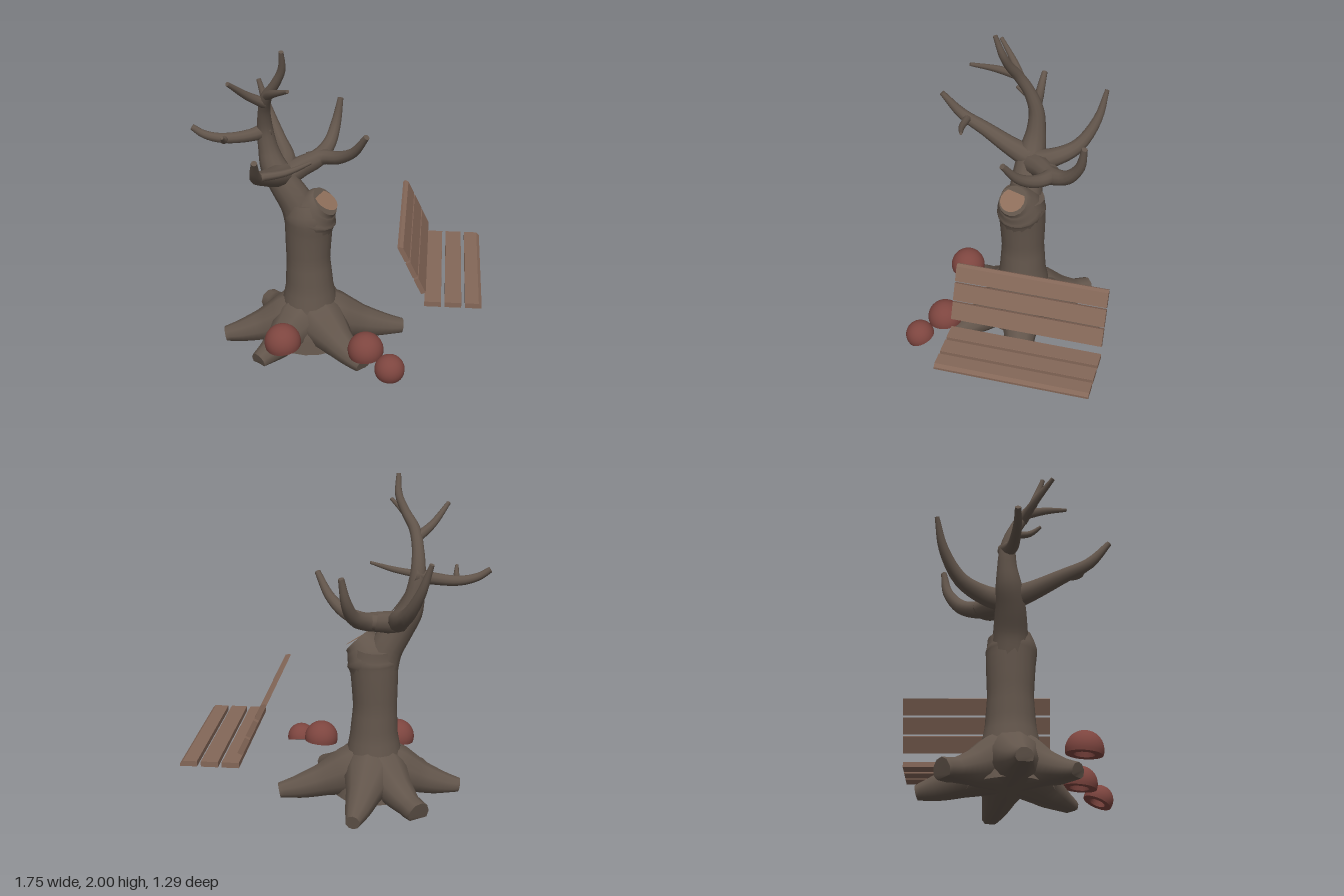
import * as THREE from 'three';

const mat = (color, extra = {}) => new THREE.MeshStandardMaterial({ color, ...extra });
const bark = mat(0x62554b), cutWood = mat(0x8e6f5b), plank = mat(0x846758), cap = mat(0x7d453f);

// Tapered limb through stations [x, y, z, radius]; vertices are kept above "floor".
function limbGeometry(stations, sides, floor = -1) {
  const curve = new THREE.CatmullRomCurve3(stations.map(s => new THREE.Vector3(s[0], s[1], s[2])));
  const steps = (stations.length - 1) * 4;
  const pos = [], index = [];
  const radiusAt = t => {
    const f = t * (stations.length - 1), i = Math.min(Math.floor(f), stations.length - 2);
    return THREE.MathUtils.lerp(stations[i][3], stations[i + 1][3], f - i);
  };
  const tangent = new THREE.Vector3(), n = new THREE.Vector3(), b = new THREE.Vector3();
  n.set(0.31, 0.2, 0.93);
  const ring = [];
  for (let i = 0; i <= steps; i++) {
    const t = i / steps, c = curve.getPoint(t), r = radiusAt(t);
    tangent.copy(curve.getTangent(t));
    n.addScaledVector(tangent, -n.dot(tangent)).normalize();
    b.crossVectors(tangent, n);
    ring.length = 0;
    for (let j = 0; j < sides; j++) {
      const a = j / sides * Math.PI * 2;
      const p = c.clone().addScaledVector(n, r * Math.cos(a)).addScaledVector(b, r * Math.sin(a));
      p.y = Math.max(p.y, floor);
      ring.push(p);
      pos.push(p.x, p.y, p.z);
    }
    if (i < steps) for (let j = 0; j < sides; j++) {
      const k = (j + 1) % sides, o = i * sides;
      index.push(o + j, o + k, o + sides + j, o + k, o + sides + k, o + sides + j);
    }
  }
  // flat sawn end with its own vertices
  const o = pos.length / 3;
  ring.forEach(p => pos.push(p.x, p.y, p.z));
  for (let j = 1; j < sides - 1; j++) index.push(o, o + j, o + j + 1);
  const g = new THREE.BufferGeometry();
  g.setAttribute('position', new THREE.Float32BufferAttribute(pos, 3));
  g.setIndex(index);
  g.computeVertexNormals();
  return g;
}

function add(parent, name, geometry, material) {
  const m = new THREE.Mesh(geometry, material);
  m.name = name;
  parent.add(m);
  return m;
}

function makeTree() {
  const tree = new THREE.Group();
  tree.name = 'tree';
  const limb = (name, stations, sides = 10, floor) => add(tree, name, limbGeometry(stations, sides, floor), bark);

  // trunk with flared foot, and the sawn stub on top
  limb('trunk', [[-.18, .04, .02, .25], [-.18, .14, .02, .225], [-.18, .28, .02, .175], [-.18, .42, .02, .148],
    [-.185, .6, .02, .135], [-.18, .8, .022, .145], [-.175, .9, .025, .152], [-.18, .985, .015, .13]], 18);
  limb('sawnStub', [[-.17, .8, .025, .13], [-.15, .9, .03, .148], [-.105, .975, .045, .115], [-.075, 1.005, .055, .095]], 16);
  const cut = add(tree, 'sawnFace', new THREE.CircleGeometry(.08, 16), cutWood);
  const out = new THREE.Vector3(.53, .83, .17).normalize();
  cut.position.set(-.072, 1.01, .056).addScaledVector(out, .006);
  cut.quaternion.setFromUnitVectors(new THREE.Vector3(0, 0, 1), out);

  // roots spreading from the foot: tip x, z, tip radius, floor
  [[.40, -.10, .05, .02], [.18, .38, .05, .03], [-.46, .38, .055, .03],
    [-.71, .09, .05, .03], [-.48, -.35, .075, .02], [-.10, -.51, .045, 0]].forEach(([x, z, r, floor]) => {
    const at = (f, y, rad) => [THREE.MathUtils.lerp(-.18, x, f), y, THREE.MathUtils.lerp(.02, z, f), rad];
    limb('root', [at(.05, .22, .17), at(.28, .17, .155), at(.55, .115, .105), at(.8, .075, .075), at(1, .055, r)], 10, floor);
  });

  // main leader rising from the trunk
  limb('leader', [[-.2, .8, .02, .12], [-.245, .96, .02, .105], [-.32, 1.09, .02, .093], [-.39, 1.21, .01, .08],
    [-.42, 1.32, 0, .06], [-.435, 1.45, .005, .047], [-.43, 1.58, .05, .037], [-.405, 1.69, .11, .034],
    [-.35, 1.78, .15, .028], [-.305, 1.88, .18, .023], [-.3, 2, .22, .014]], 12);

  // branches and twigs
  limb('leftBranch', [[-.41, 1.44, -.01, .05], [-.52, 1.41, .03, .037], [-.68, 1.395, .05, .03], [-.79, 1.42, .06, .024], [-.86, 1.465, .06, .018]]);
  limb('leftTwig', [[-.67, 1.395, .06, .022], [-.66, 1.41, .13, .018], [-.66, 1.455, .19, .01]], 8);
  limb('frontBranch', [[-.34, 1.16, .02, .075], [-.37, 1.2, .15, .06], [-.41, 1.27, .32, .045], [-.425, 1.35, .48, .034], [-.41, 1.49, .6, .017]]);
  limb('frontTwig', [[-.41, 1.33, .44, .026], [-.26, 1.36, .43, .02], [-.12, 1.41, .39, .01]], 8);
  limb('backBranch', [[-.33, 1.14, .02, .075], [-.33, 1.19, -.13, .06], [-.39, 1.26, -.27, .045], [-.47, 1.42, -.37, .03], [-.53, 1.6, -.41, .014]]);
  limb('backBough', [[-.34, 1.13, .02, .075], [-.24, 1.165, -.08, .065], [-.14, 1.19, -.17, .055], [-.08, 1.24, -.28, .043],
    [-.045, 1.35, -.36, .032], [-.02, 1.5, -.39, .018]]);
  limb('rightBranch', [[-.2, 1.18, -.15, .05], [-.11, 1.2, -.16, .046], [-.01, 1.225, -.1, .04], [.09, 1.3, -.02, .03], [.17, 1.43, .05, .018]]);
  limb('upperLeftTwig', [[-.42, 1.64, .09, .033], [-.51, 1.71, .16, .024], [-.6, 1.82, .27, .013]], 8);
  limb('upperRightTwig', [[-.4, 1.7, .12, .03], [-.345, 1.755, .23, .022], [-.25, 1.82, .36, .011]], 8);
  return tree;
}

// Long plank with one chamfered edge where wanted
function slatGeometry(width, thick, chamfer) {
  const w = width / 2, h = thick / 2;
  const s = new THREE.Shape([[-w, -h], [w, -h], [w, h - chamfer], [w - chamfer, h], [-w, h]]
    .map(([x, y]) => new THREE.Vector2(x, y)));
  return new THREE.ExtrudeGeometry(s, { depth: .92, bevelEnabled: false }).translate(0, 0, -.65);
}

function makeBench() {
  const bench = new THREE.Group();
  bench.name = 'bench';
  for (let i = 0; i < 3; i++) {
    const seat = add(bench, 'seatSlat', slatGeometry(.1, .032, i === 2 ? .018 : .001), plank);
    seat.position.set(.59 + i * .122, .45, 0);
    const back = add(bench, 'backSlat', slatGeometry(.106, .03, i === 2 ? .016 : .001), plank);
    back.position.set(.51 - i * .051, .57 + i * .107, 0);
    back.rotation.z = Math.PI - 1.12;
    back.scale.y = -1;
    back.geometry.scale(1, -1, 1);
    back.geometry.computeVertexNormals();
    back.scale.y = 1;
    // mirrored outline needs its corner order flipped
    const p = back.geometry.attributes.position;
    for (let k = 0; k < p.count; k += 3) {
      const a = new THREE.Vector3().fromBufferAttribute(p, k + 1), c = new THREE.Vector3().fromBufferAttribute(p, k + 2);
      p.setXYZ(k + 1, c.x, c.y, c.z);
      p.setXYZ(k + 2, a.x, a.y, a.z);
    }
    back.geometry.computeVertexNormals();
  }
  return bench;
}

// Mushroom cap: dome, flat rim and a shallow hollow beneath
function mushroomGeometry(r) {
  const dome = [], under = [];
  for (let i = 0; i <= 12; i++) {
    const a = -.25 + (Math.PI / 2 + .25) * i / 12;
    dome.push(new THREE.Vector2(Math.max(0, r * Math.cos(a)), r * Math.sin(a)));
  }
  const y = dome[0].y;
  [[0, y + .035], [.5 * r, y + .035], [.55 * r, y], [dome[0].x, y]].forEach(p => under.push(new THREE.Vector2(...p)));
  return [new THREE.LatheGeometry(dome, 28), new THREE.LatheGeometry(under, 28)];
}

export function createModel() {
  const model = new THREE.Group();
  model.name = 'treeWithBench';
  model.add(makeTree(), makeBench());
  // x, y, z, radius, tilt about x, tilt about z
  [[-.3, .24, .43, .11, .08, .1], [.2, .21, .43, .108, .1, .08], [.35, .16, .55, .09, .4, -.05]].forEach(([x, y, z, r, tx, tz]) => {
    const m = new THREE.Group();
    m.name = 'mushroom';
    const [dome, under] = mushroomGeometry(r);
    add(m, 'mushroomDome', dome, cap);
    add(m, 'mushroomUnderside', under, mat(0x7d453f, { side: THREE.DoubleSide, flatShading: true }));
    m.position.set(x, y, z);
    m.rotation.set(tx, 0, tz);
    model.add(m);
  });
  return model;
}
